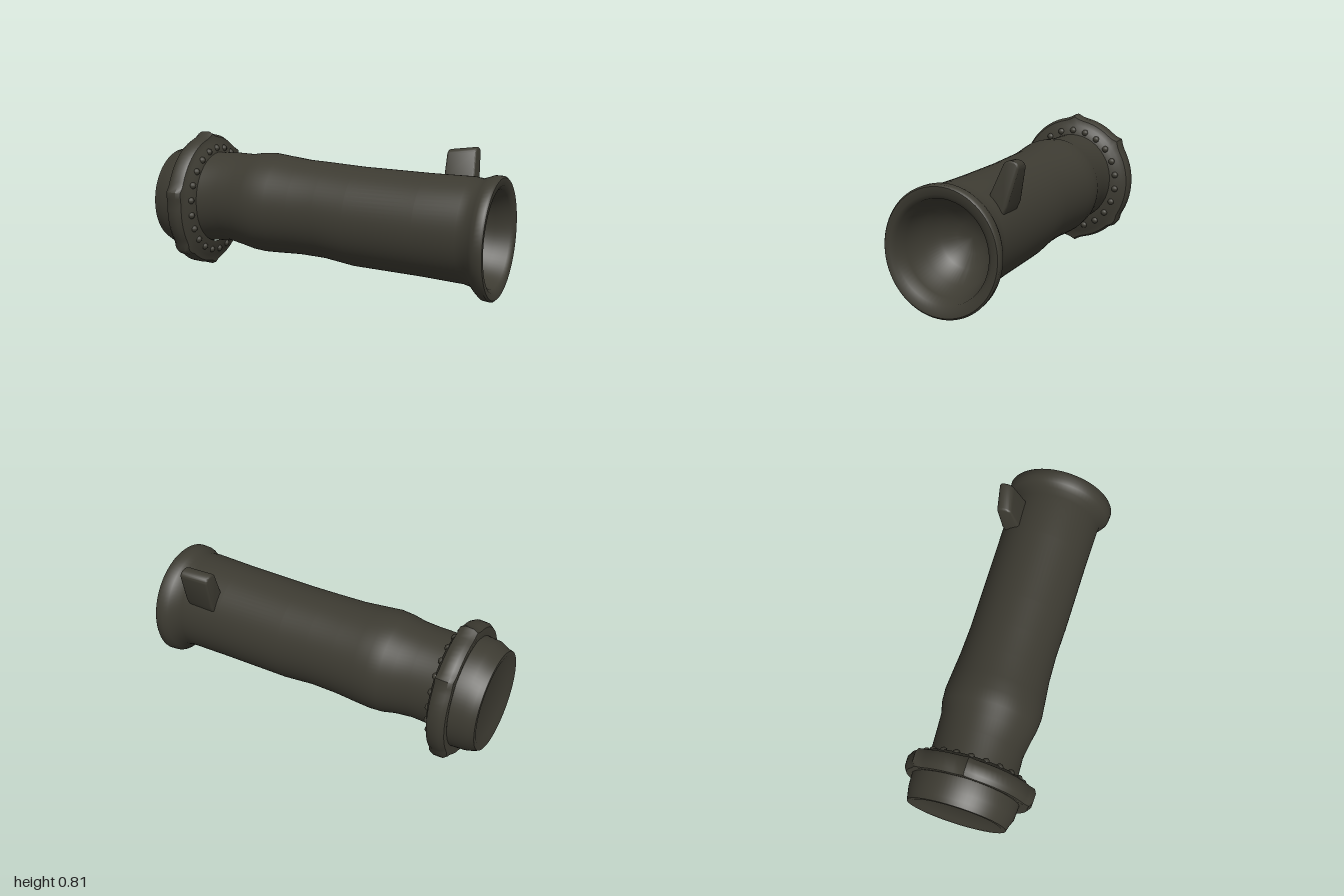
import * as THREE from 'three';
import { toCreasedNormals } from 'three/addons/utils/BufferGeometryUtils.js';

const N = 72;

// Skin rings given as [x, top y, bottom y, front z, back z]; swell(angle, ring) scales the radius
function loft(rings, swell = () => 1) {
  const pos = [], idx = [];
  rings.forEach(([x, top, bottom, front, back], r) => {
    for (let i = 0; i < N; i++) {
      const a = (i / N) * Math.PI * 2, k = swell(a, r);
      pos.push(x,
        (top + bottom) / 2 + ((top - bottom) / 2) * k * Math.cos(a),
        (front + back) / 2 + ((front - back) / 2) * k * Math.sin(a));
    }
  });
  for (let r = 0; r < rings.length - 1; r++) {
    for (let i = 0; i < N; i++) {
      const a = r * N + i, b = r * N + (i + 1) % N;
      idx.push(a, b, a + N, b, b + N, a + N);
    }
  }
  const g = new THREE.BufferGeometry();
  g.setAttribute('position', new THREE.Float32BufferAttribute(pos, 3));
  g.setIndex(idx);
  return toCreasedNormals(g, 0.8);
}

export function createModel() {
  const group = new THREE.Group();
  const metal = new THREE.MeshStandardMaterial({ color: 0x3d3b32 });
  metal.name = 'dark olive metal';
  const add = (name, geometry) => {
    const mesh = new THREE.Mesh(geometry, metal);
    mesh.name = name;
    group.add(mesh);
    return mesh;
  };

  // Closed rear cap
  add('rearCap', loft([
    [-0.985, 0.411, 0.409, -0.014, -0.016],
    [-0.985, 0.62, 0.20, 0.19, -0.22],
    [-1, 0.66, 0.16, 0.235, -0.265],
    [-1, 0.685, 0.135, 0.26, -0.29],
    [-0.97, 0.693, 0.12, 0.268, -0.297],
    [-0.93, 0.715, 0.105, 0.285, -0.305],
    [-0.85, 0.725, 0.10, 0.29, -0.31],
  ]));

  // Wavy tube with a flared mouth and a bowl-shaped bore
  add('tube', loft([
    [-0.86, 0.70, 0.14, 0.26, -0.27],
    [-0.72, 0.69, 0.165, 0.24, -0.25],
    [-0.60, 0.695, 0.175, 0.235, -0.255],
    [-0.50, 0.695, 0.16, 0.25, -0.262],
    [-0.43, 0.708, 0.145, 0.264, -0.28],
    [-0.36, 0.713, 0.14, 0.27, -0.285],
    [-0.28, 0.705, 0.143, 0.263, -0.28],
    [-0.14, 0.692, 0.15, 0.25, -0.27],
    [0.02, 0.688, 0.147, 0.245, -0.265],
    [0.20, 0.682, 0.125, 0.25, -0.268],
    [0.60, 0.682, 0.12, 0.253, -0.272],
    [0.84, 0.687, 0.112, 0.258, -0.275],
    [0.89, 0.68, 0.10, 0.262, -0.278],
    [0.925, 0.693, 0.062, 0.288, -0.302],
    [0.95, 0.703, 0.04, 0.302, -0.315],
    [0.99, 0.703, 0.036, 0.305, -0.318],
    [1.0, 0.694, 0.046, 0.298, -0.31],
    [0.998, 0.655, 0.08, 0.27, -0.278],
    [0.98, 0.633, 0.104, 0.25, -0.256],
    [0.90, 0.615, 0.118, 0.238, -0.244],
    [0.80, 0.583, 0.15, 0.205, -0.212],
    [0.71, 0.52, 0.213, 0.145, -0.152],
    [0.66, 0.45, 0.28, 0.08, -0.087],
    [0.645, 0.367, 0.365, -0.001, -0.003],
  ]));

  // Clamp flange with raised lobes around its edge
  const lobes = [0, 1.33, 2.3, Math.PI, 3.97, 5.41];
  const lobe = (a) => lobes.reduce((s, c) => {
    const d = Math.atan2(Math.sin(a - c), Math.cos(a - c));
    return s + 0.055 * Math.exp(-((d / 0.075) ** 2));
  }, 1);
  add('clampFlange', loft([
    [-0.85, 0.69, 0.13, 0.26, -0.26],
    [-0.86, 0.75, 0.07, 0.315, -0.32],
    [-0.858, 0.772, 0.044, 0.336, -0.342],
    [-0.835, 0.787, 0.026, 0.353, -0.358],
    [-0.785, 0.79, 0.024, 0.355, -0.36],
    [-0.76, 0.777, 0.036, 0.342, -0.347],
    [-0.752, 0.745, 0.07, 0.312, -0.318],
    [-0.735, 0.727, 0.095, 0.285, -0.292],
    [-0.725, 0.68, 0.16, 0.24, -0.25],
  ], (a, r) => (r > 0 && r < 6 ? lobe(a) : 1)));

  // Small studs along the inner side of the flange
  const studGeometry = new THREE.SphereGeometry(0.02, 10, 8);
  for (let i = 0; i < 22; i++) {
    const a = (i / 22) * Math.PI * 2;
    add('flangeStud', studGeometry)
      .position.set(-0.738, 0.411 + 0.305 * Math.cos(a), -0.003 + 0.28 * Math.sin(a));
  }

  // Slanted lug leaning backward near the mouth; shape drawn as (-z, y), extruded along x
  const outline = new THREE.Shape();
  outline.moveTo(0.14, 0.57);
  outline.lineTo(0.18, 0.655);
  outline.lineTo(0.232, 0.772);
  outline.quadraticCurveTo(0.245, 0.795, 0.275, 0.795);
  outline.quadraticCurveTo(0.32, 0.79, 0.314, 0.755);
  outline.lineTo(0.262, 0.575);
  outline.lineTo(0.24, 0.53);
  const lug = new THREE.ExtrudeGeometry(outline, {
    depth: 0.13, bevelEnabled: true, bevelThickness: 0.012, bevelSize: 0.01,
    bevelOffset: -0.01, bevelSegments: 3, curveSegments: 8,
  });
  lug.rotateY(Math.PI / 2).translate(0.635, 0, 0);
  // Skew the top so its left end stands higher and further back
  const p = lug.attributes.position;
  for (let i = 0; i < p.count; i++) {
    const h = Math.max(0, (p.getY(i) - 0.57) / 0.23), t = (p.getX(i) - 0.77) / 0.15;
    p.setY(i, p.getY(i) + 0.02 * h * t + 0.004 * h);
    p.setZ(i, p.getZ(i) - 0.035 * h * t);
    p.setX(i, p.getX(i) + 0.02 * (1 - h) * (t + 1));
  }
  add('lug', toCreasedNormals(lug, 0.7));

  return group;
}
